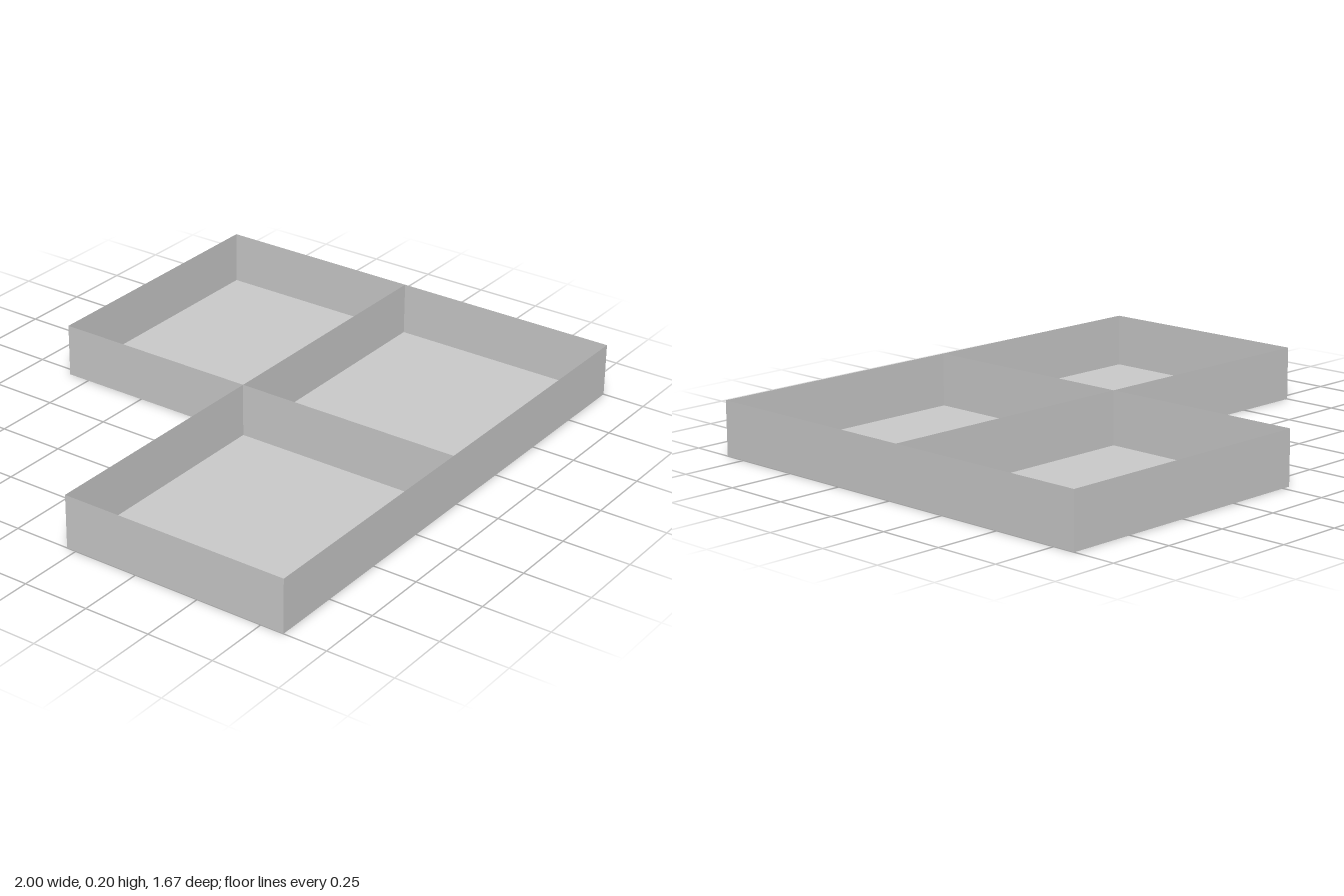
import * as THREE from 'three';

const H = 0.2;            // wall height
const X = 1, Z = 0.837;   // outer half sizes
const IX = -0.032, IZ = -0.037; // inner corner of the L

export function createModel() {
  const group = new THREE.Group();
  const material = new THREE.MeshStandardMaterial({ color: 0xcccccc, side: THREE.DoubleSide });

  const add = (name, geometry) => {
    const mesh = new THREE.Mesh(geometry, material);
    mesh.name = name;
    group.add(mesh);
    return mesh;
  };

  // Thin upright panel between two floor points
  const wall = (name, [x0, z0], [x1, z1]) => {
    const mesh = add(name, new THREE.PlaneGeometry(Math.hypot(x1 - x0, z1 - z0), H));
    mesh.position.set((x0 + x1) / 2, H / 2, (z0 + z1) / 2);
    mesh.rotation.y = -Math.atan2(z1 - z0, x1 - x0);
  };

  // L-shaped outline as x, z corners, running so that walls face outwards
  const outline = [[-X, Z], [X, Z], [X, -Z], [IX, -Z], [IX, IZ], [-X, IZ]];

  // Floor
  const shape = new THREE.Shape(outline.map(([x, z]) => new THREE.Vector2(x, -z)));
  add('floor', new THREE.ShapeGeometry(shape).rotateX(-Math.PI / 2));

  // Outer walls
  const names = ['frontWall', 'leftWall', 'backWall', 'notchSideWall', 'notchBackWall', 'rightWall'];
  outline.forEach((p, i) => wall(names[i], p, outline[(i + 1) % outline.length]));

  // Dividers making three compartments
  wall('frontDivider', [IX, IZ], [IX, Z]);
  wall('sideDivider', [IX, IZ], [X, IZ]);

  return group;
}
